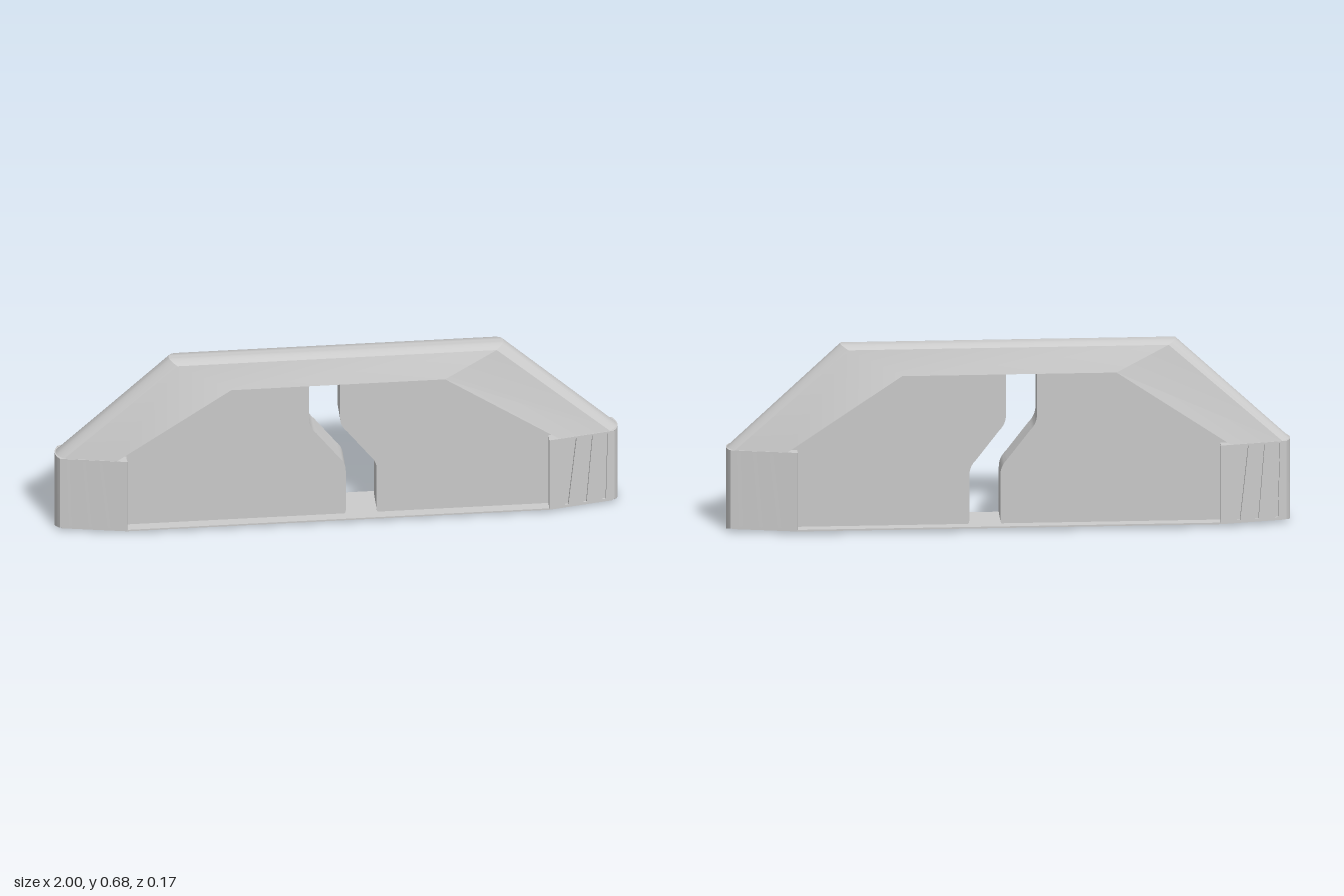
import * as THREE from 'three';
import { toCreasedNormals } from 'three/addons/utils/BufferGeometryUtils.js';

const material = new THREE.MeshStandardMaterial({ color: 0xcccccc });

function add(parent, name, geometry) {
  const mesh = new THREE.Mesh(geometry, material);
  mesh.name = name;
  parent.add(mesh);
  return mesh;
}

const polygon = (points) => new THREE.Shape(points.map(([x, y]) => new THREE.Vector2(x, y)));
const extrude = (shape, depth) =>
  new THREE.ExtrudeGeometry(shape, { depth, bevelEnabled: false, curveSegments: 8 });

// Arched frame: one bevelled, round-backed section swept over four mitred stations
function frameGeometry() {
  const stations = [ // outer x, y, inner x, y, inner half thickness
    [1, 0.3, 0.79, 0.3, 0.079],
    [0.595, 0.68, 0.38, 0.58, 0.083],
    [-0.595, 0.68, -0.38, 0.58, 0.083],
    [-1, 0.3, -0.79, 0.3, 0.079],
  ];
  const arc = 10;
  const ring = ([ox, oy, ix, iy, half]) => {
    const section = [[0, half]];
    for (let i = 0; i <= arc; i++) {
      const z = 0.044 * (1 - (2 * i) / arc);
      section.push([1 - 0.13 * (z / 0.044) ** 2, z]);
    }
    section.push([0, -half]);
    return section.map(([t, z]) => [ix + (ox - ix) * t, iy + (oy - iy) * t, z]);
  };
  const rings = stations.map(ring);
  const positions = [];
  const n = rings[0].length;
  for (let i = 0; i < rings.length - 1; i++) {
    for (let j = 0; j < n; j++) {
      const k = (j + 1) % n;
      const a = rings[i][j], b = rings[i][k], c = rings[i + 1][k], d = rings[i + 1][j];
      positions.push(...a, ...b, ...d, ...b, ...c, ...d);
    }
  }
  const geometry = new THREE.BufferGeometry();
  geometry.setAttribute('position', new THREE.Float32BufferAttribute(positions, 3));
  return toCreasedNormals(geometry, 0.3);
}

// Panel with a flowing inner edge; side = -1 or 1
function panelGeometry(side) {
  const top = side < 0 ? -0.1 : 0.01;
  const low = side < 0 ? 0.03 : 0.14;
  const r = 0.015;
  const s = new THREE.Shape();
  s.moveTo(top, 0.6);
  s.lineTo(top, 0.42);
  s.quadraticCurveTo(top, 0.385, top + 0.025, 0.36);
  s.lineTo(low - 0.025, 0.255);
  s.quadraticCurveTo(low, 0.23, low, 0.195);
  s.lineTo(low, 0.014 + r);
  s.quadraticCurveTo(low, 0.014, low + side * r, 0.014);
  s.lineTo(side * 0.8, 0.014);
  s.lineTo(side * 0.8, 0.32);
  s.lineTo(side * 0.39, 0.6);
  s.closePath();
  const geometry = extrude(s, 0.1);
  geometry.translate(0, 0, -0.05);
  return toCreasedNormals(geometry, 0.5);
}

// End block core: tapered plan with a rounded tip and a V-shaped underside
function blockGeometry() {
  const s = new THREE.Shape();
  s.moveTo(0.75, -0.079);
  s.lineTo(0.985, -0.038);
  s.lineTo(0.985, -0.044);
  s.quadraticCurveTo(1.015, 0, 0.985, 0.044);
  s.lineTo(0.985, 0.038);
  s.lineTo(0.75, 0.079);
  s.closePath();
  const geometry = extrude(s, 0.287);
  geometry.rotateX(-Math.PI / 2);
  geometry.translate(0, 0.016, 0);
  const p = geometry.attributes.position;
  for (let i = 0; i < p.count; i++) {
    if (p.getY(i) < 0.1 && p.getX(i) > 0.9) p.setY(i, 0.3 * Math.abs(p.getZ(i)));
  }
  return toCreasedNormals(geometry, 0.5);
}

// Grooved cover plate on the front (side = 1) or back (side = -1) of an end block
function addGroovedPlate(parent, side) {
  const thickness = 0.008;
  const angle = Math.atan2(0.043, 0.235);
  const length = Math.hypot(0.043, 0.235);
  const shape = polygon([[0, 0.017], [length, 0.017], [length, 0.303], [0, 0.303]]
    .map(([u, v]) => [u * side, v]));
  for (const [low, high] of [[0.064, 0.094], [0.131, 0.153], [0.202, 0.209]]) {
    const w = 0.006;
    shape.holes.push(polygon([[low - w, 0.022], [low + w, 0.022], [high + w, 0.296], [high - w, 0.296]]
      .map(([u, v]) => [u * side, v])));
  }
  const plate = add(parent, side > 0 ? 'frontGroovedPlate' : 'backGroovedPlate', extrude(shape, thickness));
  plate.rotation.y = side > 0 ? angle : Math.PI - angle;
  plate.position.set(0.75 - thickness * Math.sin(angle), 0, side * (0.087 - thickness * Math.cos(angle)));
}

export function createModel() {
  const model = new THREE.Group();
  model.name = 'archedFrame';

  add(model, 'frame', frameGeometry());
  add(model, 'rightPanel', panelGeometry(-1));
  add(model, 'leftPanel', panelGeometry(1));

  // Thin base plate joining the two ends
  const base = extrude(polygon([
    [-0.98, -0.044], [-0.75, -0.086], [0.75, -0.086], [0.98, -0.044],
    [0.98, 0.044], [0.75, 0.086], [-0.75, 0.086], [-0.98, 0.044],
  ]), 0.006);
  base.rotateX(-Math.PI / 2);
  base.translate(0, 0.011, 0);
  add(model, 'basePlate', base);

  // Matching end blocks, turned to face outwards
  for (const [name, turn] of [['leftEnd', 0], ['rightEnd', Math.PI]]) {
    const end = new THREE.Group();
    end.name = name;
    end.rotation.y = turn;
    add(end, 'endBlock', blockGeometry());
    addGroovedPlate(end, 1);
    addGroovedPlate(end, -1);
    model.add(end);
  }
  return model;
}
